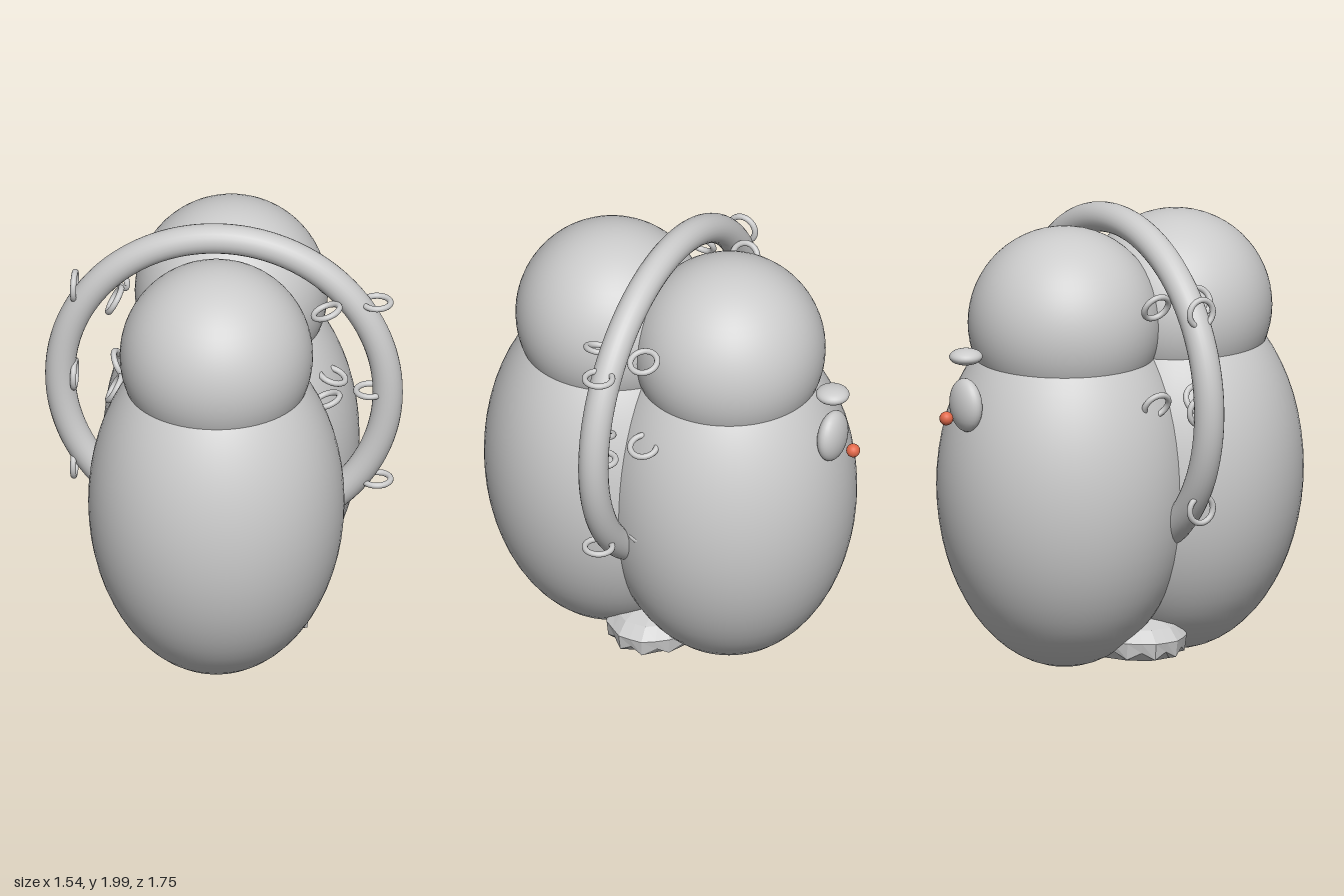
import * as THREE from 'three';

const grey = new THREE.MeshStandardMaterial({ color: 0xcccccc });
const faceted = new THREE.MeshStandardMaterial({ color: 0xcccccc, flatShading: true, side: THREE.DoubleSide });
const orange = new THREE.MeshStandardMaterial({ color: 0xe2694a });

function add(parent, name, geometry, x, y, z, material = grey) {
  const mesh = new THREE.Mesh(geometry, material);
  mesh.name = name;
  mesh.position.set(x, y, z);
  parent.add(mesh);
  return mesh;
}

function ellipsoid(rx, ry, rz, detail = 64) {
  return new THREE.SphereGeometry(1, detail, detail / 2).scale(rx, ry, rz);
}

// Lumpy stone: a lathe squashed in z, with a zigzag lower rim
function stoneGeometry() {
  const profile = [[0, 0.02], [0.2, 0.035], [0.33, 0.06], [0.375, 0.085], [0.385, 0.145], [0.335, 0.195], [0.2, 0.235], [0, 0.24]]
    .map(([r, y]) => new THREE.Vector2(r, y));
  const sides = 28;
  const geometry = new THREE.LatheGeometry(profile, sides);
  const p = geometry.attributes.position;
  for (let i = 0; i < p.count; i++) {
    const row = i % profile.length;
    const step = Math.floor(i / profile.length) % sides;
    if (row === 3) p.setY(i, p.getY(i) + (step % 2 ? 0.018 : -0.012));
    const lump = 1 + 0.025 * Math.sin(step * 2.7 + row);
    const zScale = 0.63 * lump;
    p.setXYZ(i, p.getX(i) * (row > 1 ? 1 - 0.02 * (step % 2) : 1), p.getY(i), p.getZ(i) * zScale);
  }
  geometry.computeVertexNormals();
  return geometry;
}

export function createModel() {
  const model = new THREE.Group();
  model.name = 'pairOfBirds';

  // Two birds standing back to back
  for (const [name, z] of [['frontBird', 0.33], ['backBird', -0.24]]) {
    const bird = new THREE.Group();
    bird.name = name;
    bird.position.z = z;
    model.add(bird);
    add(bird, 'body', ellipsoid(0.55, 0.8, 0.55), 0, 0.81, 0);
    add(bird, 'head', ellipsoid(0.415, 0.415, 0.415), 0, 1.525, 0);
  }

  // Face parts on the back
  add(model, 'brow', ellipsoid(0.07, 0.035, 0.073, 32), 0, 1.445, -0.745);
  add(model, 'muzzle', ellipsoid(0.1, 0.117, 0.055, 32), 0, 1.23, -0.745);
  add(model, 'noseTip', ellipsoid(0.03, 0.03, 0.03, 24), 0, 1.185, -0.845, orange);

  // Large hoop between the birds
  add(model, 'hoop', new THREE.TorusGeometry(0.707, 0.065, 24, 120), 0, 1.23, 0.04);

  // Small rings along the hoop: upright on one side, lying flat on the other
  const ring = new THREE.TorusGeometry(0.059, 0.013, 12, 40).rotateX(Math.PI / 2);
  for (const y of [1.665, 1.23, 0.795]) {
    add(model, 'flatRing', ring, y === 1.23 ? 0.63 : 0.66, y, 0.04);
    add(model, 'uprightRing', ring, -0.645, y, 0.04).rotation.z = Math.PI / 2;
    for (const s of [1, -1]) {
      const z = 0.0375 + s * 0.107;
      add(model, 'tiltedFlatRing', ring, 0.455, y, z).rotation.z = s * 0.35;
      add(model, 'tiltedUprightRing', ring, -0.46, y, z).rotation.z = Math.PI / 2 - s * 0.49;
    }
  }

  // Stone under the birds
  add(model, 'stone', stoneGeometry(), 0, 0, 0.04, faceted);

  return model;
}
